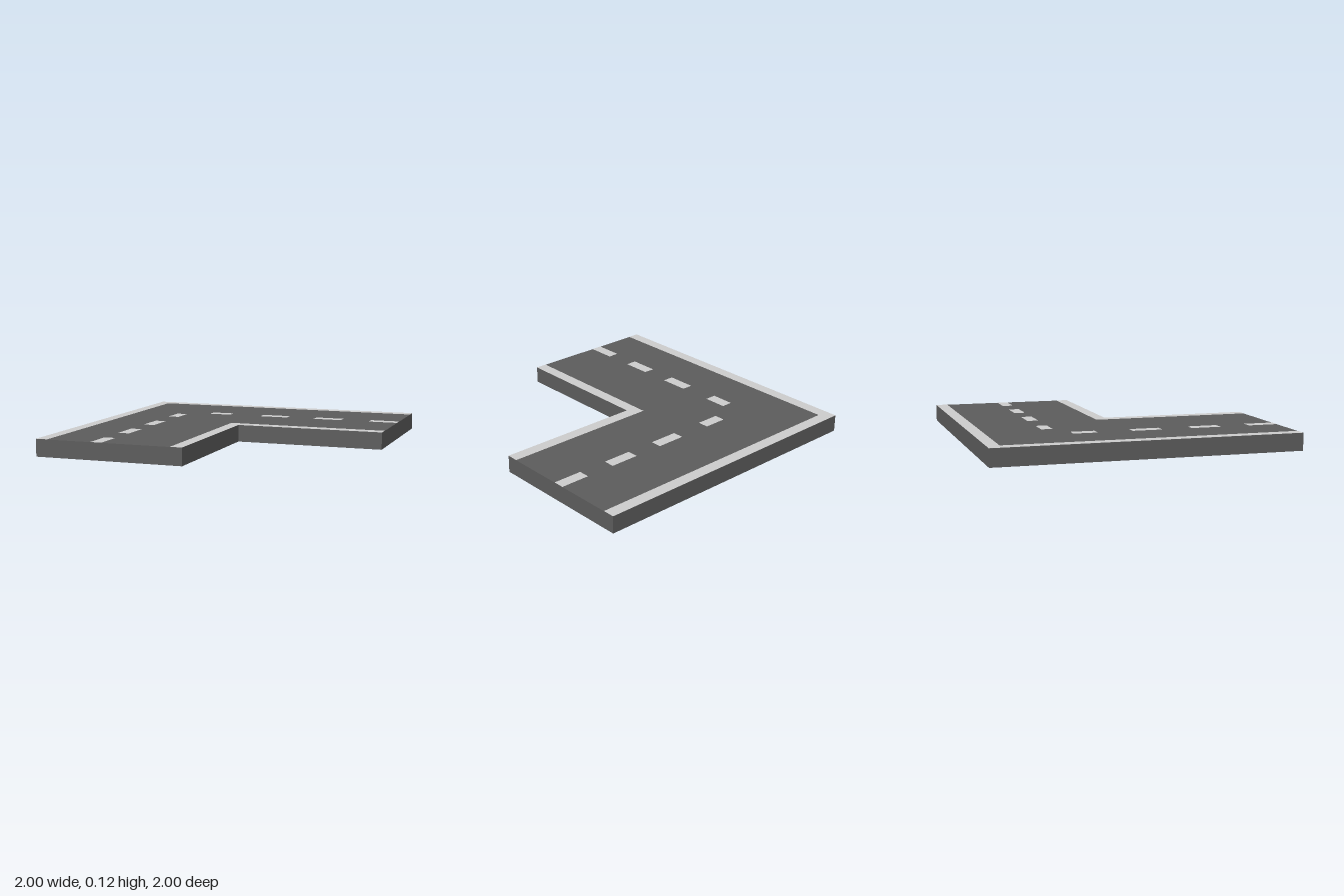
import * as THREE from 'three';

const TOP = 0.114;
const LIFT = 0.001; // paint sits just above the asphalt

// Plan outline given as [x, z] corners, turned to lie flat with its face up
const planShape = (pts) => new THREE.Shape(pts.map(([x, z]) => new THREE.Vector2(x, -z)));

export function createModel() {
  const group = new THREE.Group();
  const asphalt = new THREE.MeshStandardMaterial({ color: 0x5c5c5c });
  const paint = new THREE.MeshStandardMaterial({ color: 0xcccccc });

  const add = (name, geometry, material, y = 0) => {
    const mesh = new THREE.Mesh(geometry.rotateX(-Math.PI / 2), material);
    mesh.name = name;
    mesh.position.y = y;
    group.add(mesh);
  };
  const addPaint = (name, pts) =>
    add(name, new THREE.ShapeGeometry(planShape(pts)), paint, TOP + LIFT);

  // L-shaped road slab
  const outline = [[-1, 1], [0, 1], [0, 0], [1, 0], [1, -1], [-1, -1]];
  add('roadSlab', new THREE.ExtrudeGeometry(planShape(outline), { depth: TOP, bevelEnabled: false }), asphalt);

  // Solid edge lines along the outer and inner sides of the corner
  const addEdgeLine = (name, a, b) =>
    addPaint(name, [[a, 1], [b, 1], [b, b], [1, b], [1, a], [a, a]]);
  addEdgeLine('outerEdgeLine', -1, -0.92);
  addEdgeLine('innerEdgeLine', -0.08, 0);

  // Dashed centre lines, one run along each arm
  const dashes = [[-0.39, -0.23], [0, 0.2], [0.4, 0.6], [0.8, 1]];
  const addRect = (name, x0, x1, z0, z1) =>
    addPaint(name, [[x0, z1], [x1, z1], [x1, z0], [x0, z0]]);
  dashes.forEach(([a, b], i) => {
    addRect(`sideArmDash${i + 1}`, a, b, -0.54, -0.465);
    addRect(`frontArmDash${i + 1}`, -0.618, -0.54, a, b);
  });

  return group;
}
